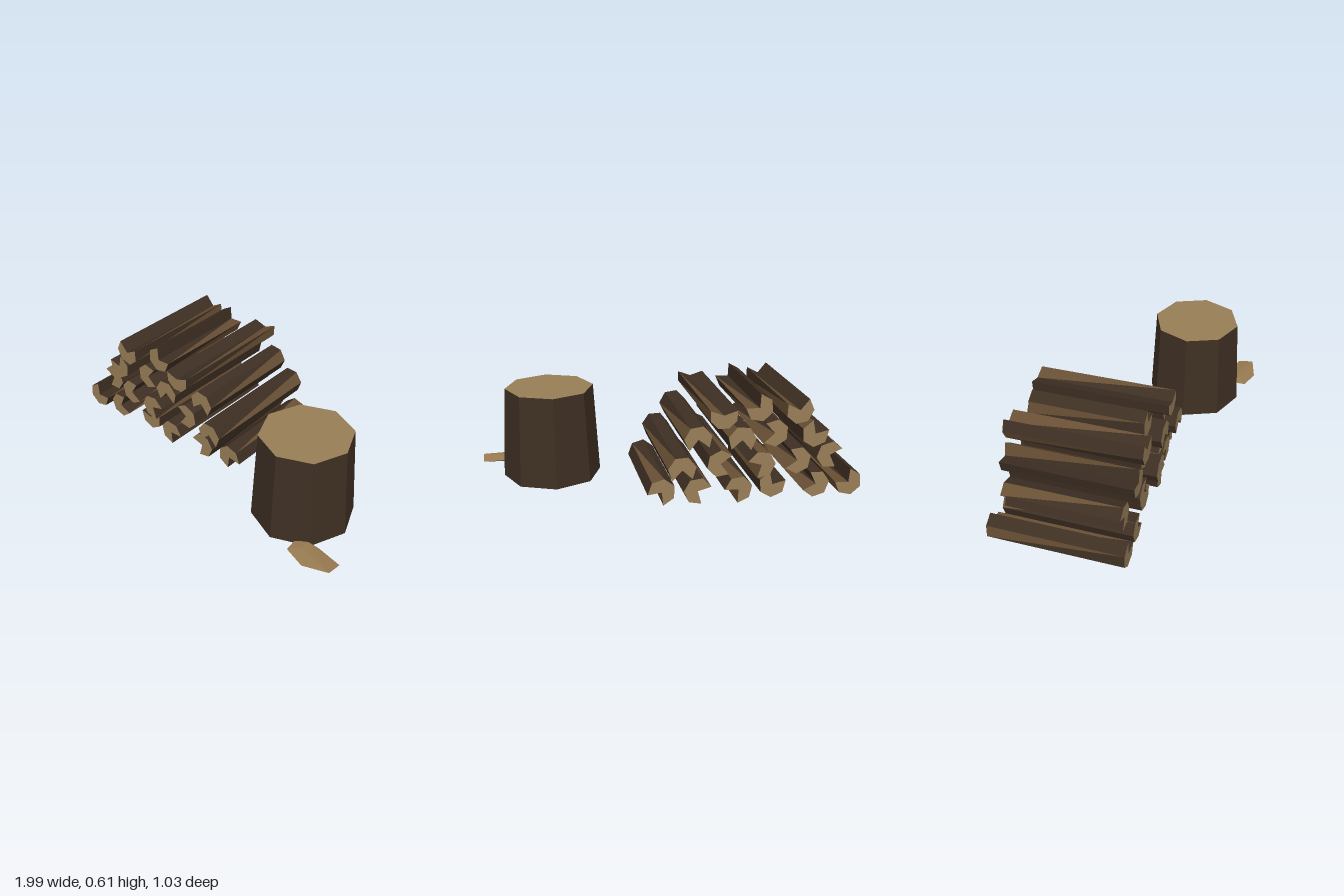
import * as THREE from 'three';
import { ConvexGeometry } from 'three/addons/geometries/ConvexGeometry.js';

const mat = (color) => new THREE.MeshStandardMaterial({ color, flatShading: true });

// Log prism with a wedge split out of it; opening and gap are in degrees
function logGeometry(opening, gap, length) {
  const R = 0.076, rim = 6;
  const pts = [new THREE.Vector2(0, 0)];
  for (let i = 0; i < rim; i++) {
    const a = THREE.MathUtils.degToRad(opening + gap / 2 + (i * (360 - gap)) / (rim - 1));
    pts.push(new THREE.Vector2(R * Math.cos(a), R * Math.sin(a)));
  }
  const geo = new THREE.ExtrudeGeometry(new THREE.Shape(pts), { depth: length, bevelEnabled: false });
  // Bark on the outside, with bare wood on half of each split face (last 12 vertices)
  // and on one long sliver of the outside
  const [caps, sides] = geo.groups.map((g) => ({ ...g }));
  geo.clearGroups();
  geo.addGroup(caps.start, caps.count, 0);
  for (let k = 0; k < sides.count; k += 3) {
    const bare = k === 12 || (k >= sides.count - 12 && k % 2 === 0);
    geo.addGroup(sides.start + k, 3, bare ? 2 : 1);
  }
  return geo;
}

export function createModel() {
  const model = new THREE.Group();
  const wood = mat(0x987e57), bark = mat(0x3e2f23), split = mat(0x684f34);

  // Stacked firewood: x, y, opening direction, back z, front z, gap
  const logs = [
    [-0.925, 0.102, 50, -0.5, 0.23],
    [-0.742, 0.103, 20, -0.49, 0.22],
    [-0.513, 0.103, 122, -0.45, 0.19],
    [-0.315, 0.104, -42, -0.485, 0.22],
    [-0.10, 0.102, 210, -0.46, 0.19],
    [0.09, 0.102, -52, -0.44, 0.175],
    [-0.83, 0.247, 200, -0.45, 0.18],
    [-0.632, 0.247, 12, -0.49, 0.22],
    [-0.427, 0.247, -28, -0.515, 0.25],
    [-0.222, 0.247, 190, -0.46, 0.19],
    [-0.005, 0.245, -92, -0.505, 0.235],
    [-0.725, 0.39, 123, -0.49, 0.22],
    [-0.515, 0.393, 4, -0.45, 0.19],
    [-0.32, 0.39, -85, -0.51, 0.24],
    [-0.10, 0.39, -97, -0.46, 0.19],
    [-0.63, 0.528, 79, -0.5, 0.235, 102],
    [-0.43, 0.535, 48, -0.445, 0.18],
    [-0.22, 0.53, 92, -0.51, 0.25, 142],
  ];
  const pile = new THREE.Group();
  pile.name = 'logPile';
  for (const [x, y, opening, back, front, gap = 90] of logs) {
    const log = new THREE.Mesh(logGeometry(opening, gap, front - back), [wood, bark, split]);
    log.name = 'log';
    log.position.set(x, y, back);
    pile.add(log);
  }
  model.add(pile);

  // Chopping stump: tapered octagon with a bare top
  const stump = new THREE.Mesh(
    new THREE.CylinderGeometry(0.247, 0.276, 0.513, 8), [bark, wood, bark]);
  stump.name = 'stump';
  stump.position.set(0.61, 0.2765, 0.175);
  model.add(stump);

  // Wood chip lying at the foot of the stump
  const chipPoints = [
    [0.735, 0.04, 0.41], [0.79, 0.045, 0.37], [0.86, 0.035, 0.365], [1, 0.027, 0.385],
    [1, 0.042, 0.475], [0.86, 0.03, 0.513], [0.74, 0.036, 0.475],
    [0.79, 0.047, 0.43], [0.79, 0, 0.43], [0.9, 0.018, 0.43],
  ].map((p) => new THREE.Vector3(...p));
  const chip = new THREE.Mesh(new ConvexGeometry(chipPoints), mat(0x987a50));
  chip.name = 'woodChip';
  model.add(chip);

  return model;
}
